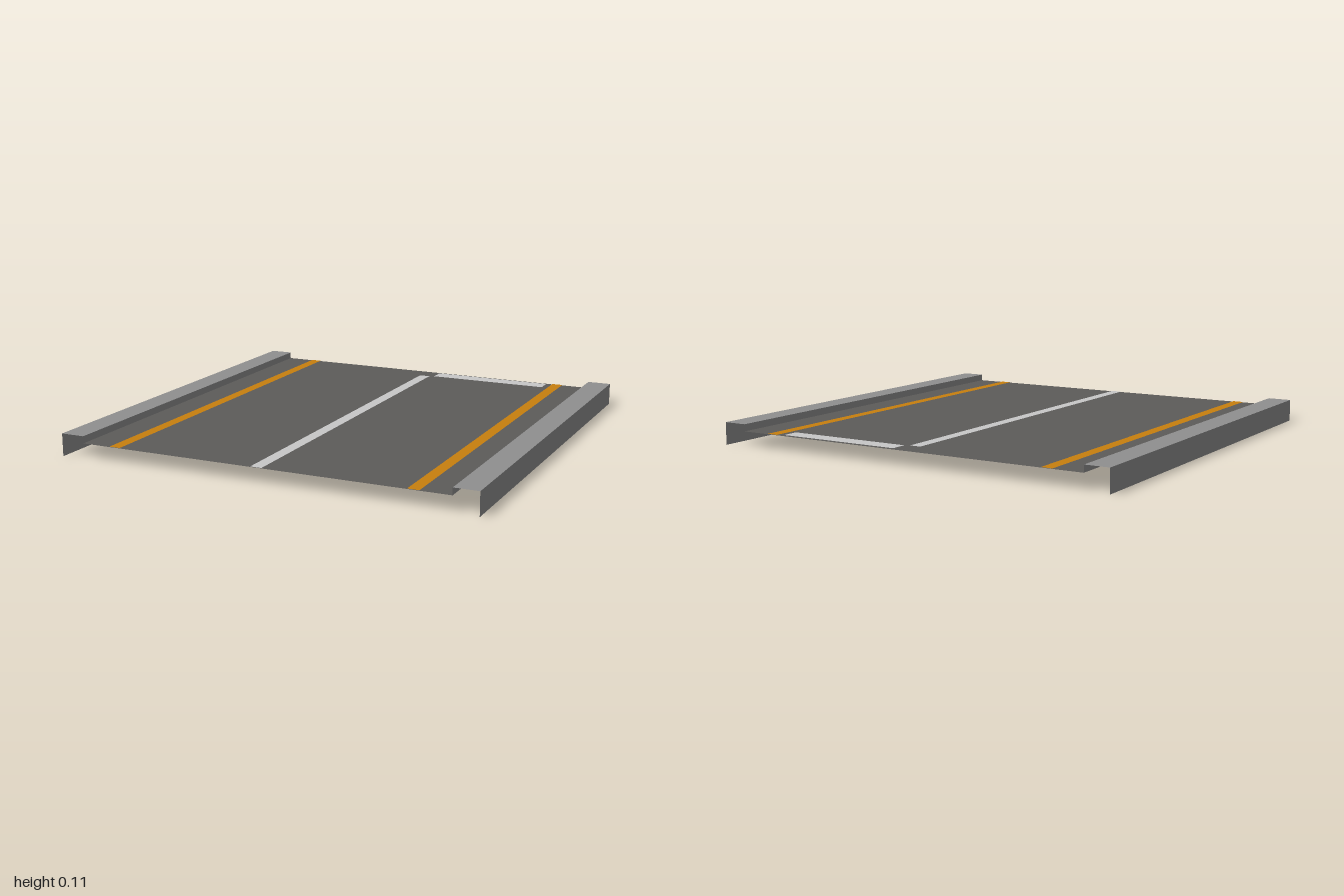
import * as THREE from 'three';

const HEIGHT = 0.107, ROAD_Y = 0.074, PAINT_Y = 0.076, KERB_X = 0.885;

function material(name, color) {
  const m = new THREE.MeshStandardMaterial({ color, side: THREE.DoubleSide });
  m.name = name;
  return m;
}

export function createModel() {
  const model = new THREE.Group();
  model.name = 'roadSegment';
  const asphalt = material('asphalt', 0x5d5c5a);
  const concrete = material('concrete', 0x909090);
  const orange = material('orangePaint', 0xc8800e);
  const white = material('whitePaint', 0xc8c8c8);

  // Horizontal sheet between two x and two z limits
  function flat(name, mat, x0, x1, z0, z1, y, parent = model) {
    const geo = new THREE.PlaneGeometry(x1 - x0, z1 - z0).rotateX(-Math.PI / 2);
    const mesh = new THREE.Mesh(geo, mat);
    mesh.name = name;
    mesh.position.set((x0 + x1) / 2, y, (z0 + z1) / 2);
    parent.add(mesh);
  }

  // Upright sheet running along z, facing the given side
  function wall(name, x, y0, y1, facing, parent) {
    const geo = new THREE.PlaneGeometry(2, y1 - y0).rotateY(facing * Math.PI / 2);
    const mesh = new THREE.Mesh(geo, concrete);
    mesh.name = name;
    mesh.position.set(x, (y0 + y1) / 2, 0);
    parent.add(mesh);
  }

  // Road surface
  flat('roadSurface', asphalt, -KERB_X, KERB_X, -1, 1, ROAD_Y);

  // Kerbs and edge lines on both sides
  for (const [label, s] of [['left', 1], ['right', -1]]) {
    const kerb = new THREE.Group();
    kerb.name = label + 'Kerb';
    flat('kerbTop', concrete, Math.min(s, s * KERB_X), Math.max(s, s * KERB_X), -1, 1, HEIGHT, kerb);
    wall('kerbOuterFace', s, 0, HEIGHT, s, kerb);
    wall('kerbInnerFace', s * KERB_X, ROAD_Y, HEIGHT, -s, kerb);
    model.add(kerb);
    flat(label + 'EdgeLine', orange, s * 0.717 - 0.027, s * 0.717 + 0.027, -1, 1, PAINT_Y);
  }

  // Centre line and stop line
  flat('centreLine', white, -0.028, 0.026, -0.895, 1, PAINT_Y);
  flat('stopLine', white, 0.05, 0.66, -0.985, -0.905, PAINT_Y);

  return model;
}
